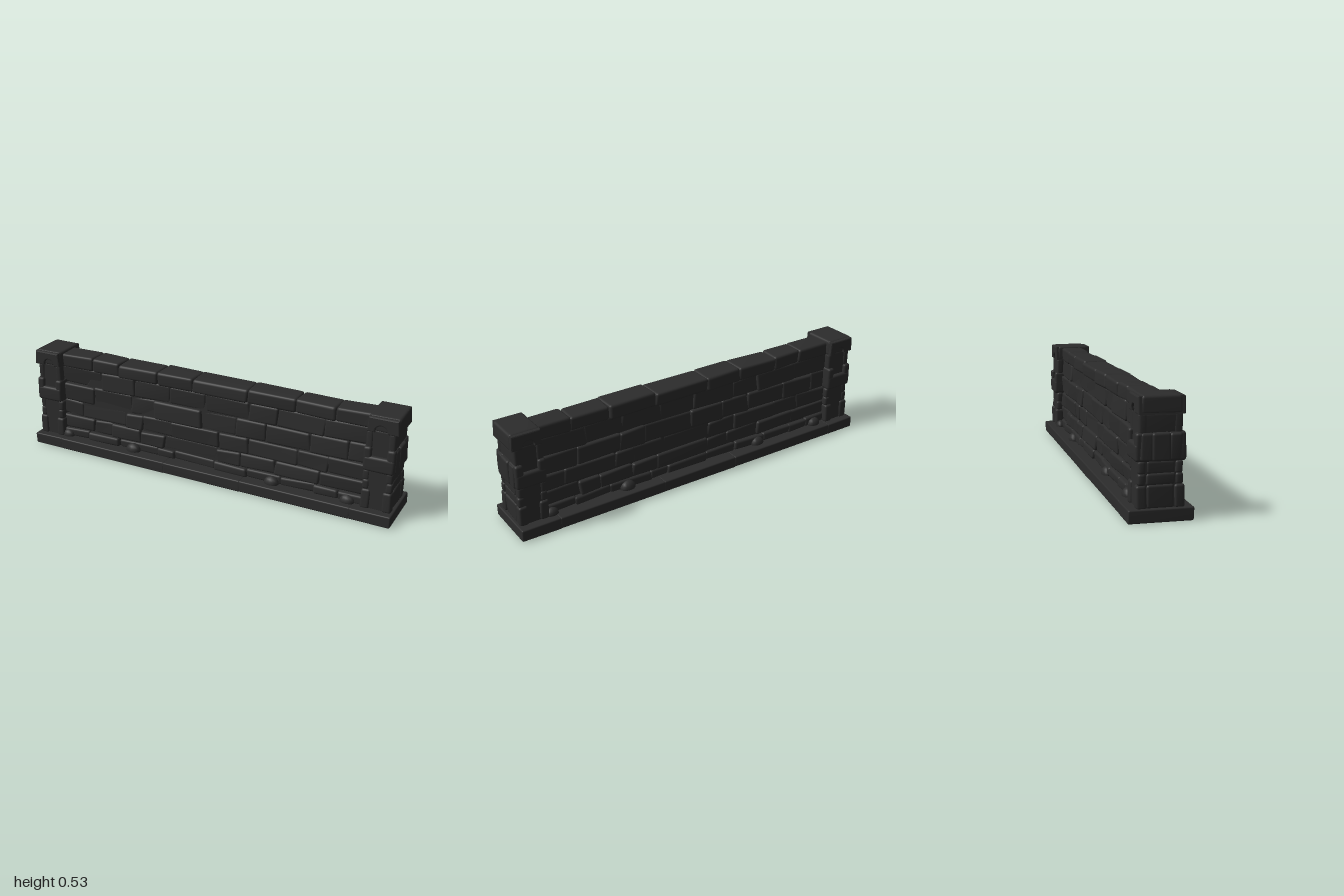
import * as THREE from 'three';
import { mergeVertices, mergeGeometries } from 'three/addons/utils/BufferGeometryUtils.js';
import { RoundedBoxGeometry } from 'three/addons/geometries/RoundedBoxGeometry.js';

// Small seeded generator, so that every stone is a little different
let seed = 7;
const rand = (a, b) => {
  seed = (seed * 16807) % 2147483647;
  return a + (b - a) * (seed / 2147483647);
};

// Worn stone between two corners; lean pulls the sides in towards the top, rough sets the wear
function stone(x0, x1, y0, y1, z0, z1, { r = 0.012, rough = 0.004, lean = 0 } = {}) {
  const w = x1 - x0, h = y1 - y0, d = z1 - z0;
  let g = new RoundedBoxGeometry(w, h, d, 2, Math.min(r, w * 0.4, h * 0.4, d * 0.4));
  g.deleteAttribute('normal');
  g.deleteAttribute('uv');
  g = mergeVertices(g, 1e-5);
  const p = g.attributes.position;
  const a = rand(0, 6), b = rand(0, 6), c = rand(0, 6);
  for (let i = 0; i < p.count; i++) {
    const x = p.getX(i), y = p.getY(i), z = p.getZ(i);
    const s = 1 - lean * (y / h + 0.5);
    p.setXYZ(i,
      x * s + rough * Math.sin(30 * y + 20 * z + a),
      y + rough * 0.6 * Math.sin(17 * x + 13 * z + b),
      z * s + rough * Math.sin(23 * x + 31 * y + c));
  }
  g.translate((x0 + x1) / 2, (y0 + y1) / 2, (z0 + z1) / 2);
  g.computeVertexNormals();
  return g;
}

// Half-buried rounded rock
function pebble(x, y, z, r) {
  const g = mergeVertices(new THREE.SphereGeometry(r, 12, 8).deleteAttribute('uv'));
  g.scale(1.15, 1, 0.8);
  g.translate(x, y, z);
  return g;
}

export function createModel() {
  const model = new THREE.Group();
  const darkStone = new THREE.MeshStandardMaterial({ color: 0x2c2c2c });
  darkStone.name = 'dark stone';

  const add = (name, parts, parent = model) => {
    const clean = parts.map((g) => {
      const n = g.toNonIndexed();
      n.deleteAttribute('uv');
      return n;
    });
    const mesh = new THREE.Mesh(mergeGeometries(clean), darkStone);
    mesh.name = name;
    parent.add(mesh);
  };
  const spans = (xs, fn) => xs.slice(1).map((x, i) => fn(xs[i], x));

  // Foundation slabs, slightly overlapping
  add('foundation', spans([-0.996, -0.83, -0.2, 0.23, 0.8, 0.996], (a, b) =>
    stone(a - 0.003, b + 0.003, 0.001, 0.06, -0.141, 0.141, { r: 0.007, rough: 0.001 })));

  // Solid core behind the facing bricks
  add('wallCore', [stone(-0.9, 0.9, 0.05, 0.46, -0.062, 0.062, { rough: 0, lean: 0.28 })]);

  // Facing bricks, in courses that step in as they rise
  const courses = [
    { y: [0.055, 0.104], z: 0.078, x: [-0.86, -0.69, -0.5, -0.27, -0.17, 0.06, 0.24, 0.42, 0.6, 0.72, 0.86] },
    { y: [0.1, 0.177], z: 0.07, x: [-0.86, -0.66, -0.55, -0.37, -0.23, 0.07, 0.2, 0.39, 0.62, 0.86] },
    { y: [0.172, 0.261], z: 0.064, x: [-0.86, -0.73, -0.46, -0.36, -0.19, 0.08, 0.24, 0.5, 0.66, 0.86] },
    { y: [0.256, 0.357], z: 0.06, x: [-0.86, -0.66, -0.43, -0.29, -0.02, 0.17, 0.33, 0.56, 0.75, 0.86] },
    { y: [0.352, 0.452], z: 0.054, x: [-0.86, -0.61, -0.41, -0.2, 0.0, 0.24, 0.39, 0.63, 0.86] },
  ];
  const bricks = () => courses.flatMap(({ y, z, x }) => spans(x, (a, b) => {
    const out = z + rand(-0.008, 0.008);
    return stone(a - 0.002, b + 0.002, y[0] + rand(0, 0.003), y[1] - rand(0, 0.003), 0.01, out,
      { r: 0.012, rough: 0.0045 });
  }));
  const pebbles = () => [[-0.82, 0.03], [-0.41, 0.036], [0.38, 0.034], [0.77, 0.033]]
    .map(([x, r]) => pebble(x, 0.064, 0.083, r));

  // Both faces carry the same layout, turned half round
  for (const [side, turn] of [['front', 0], ['back', Math.PI]]) {
    const face = new THREE.Group();
    face.name = side + 'Face';
    face.rotation.y = turn;
    add(side + 'Bricks', bricks(), face);
    add(side + 'Rocks', pebbles(), face);
    model.add(face);
  }

  // Coping stones along the top, thickest and set slightly back at the middle
  add('coping', spans([-0.88, -0.66, -0.5, -0.27, -0.07, 0.23, 0.48, 0.68, 0.88], (a, b) => {
    const mid = 1 - Math.abs(a + b) / 2;
    const half = 0.056 + 0.012 * mid + rand(-0.002, 0.003);
    const back = -0.006 * mid;
    return stone(a - 0.001, b + 0.001, 0.443, 0.515 + rand(-0.003, 0.003), back - half, back + half,
      { r: 0.014, rough: 0.003 });
  }));

  // End pillars
  for (const [name, turn] of [['leftPillar', 0], ['rightPillar', Math.PI]]) {
    const pillar = new THREE.Group();
    pillar.name = name;
    pillar.rotation.y = turn;
    const both = (fn) => [-1, 1].flatMap((s) =>
      fn((a, b) => [s * a, s * b].sort((m, n) => m - n)));

    add('shaft', [stone(0.85, 0.979, 0.05, 0.46, -0.096, 0.096, { rough: 0.001, lean: 0.09 })], pillar);

    // Corner quoins and the stones between them, below the band
    const lower = [];
    for (const [y0, y1, z, x, wide] of [[0.055, 0.157, 0.104, 0.987, 0.045],
      [0.153, 0.205, 0.098, 0.984, 0.034], [0.2, 0.257, 0.096, 0.982, 0.034]]) {
      lower.push(...both((span) => [
        stone(x - wide, x, y0, y1, ...span(z - wide, z), { rough: 0.0015 }),
        stone(0.838, 0.838 + wide, y0, y1, ...span(z - wide, z), { rough: 0.0015 }),
      ]));
      lower.push(stone(0.93, x - 0.002, y0, y1, -z + wide, z - wide, { rough: 0.002 }));
    }
    add('lowerStones', lower, pillar);

    // Projecting band, open at the middle of each broad side to leave a niche
    add('band', [
      stone(0.838, 0.988, 0.253, 0.33, -0.109, 0.109, { r: 0.014, rough: 0.001 }),
      stone(0.93, 0.994, 0.256, 0.372, -0.088, -0.034, { rough: 0.002 }),
      stone(0.93, 0.998, 0.256, 0.375, -0.04, 0.04, { rough: 0.001 }),
      stone(0.93, 0.994, 0.256, 0.372, 0.034, 0.088, { rough: 0.002 }),
      ...both((span) => [
        stone(0.948, 0.988, 0.255, 0.375, ...span(0.03, 0.107), { rough: 0.001 }),
        stone(0.838, 0.876, 0.255, 0.375, ...span(0.03, 0.107), { rough: 0.001 }),
      ]),
    ], pillar);

    // Slim corner stones between the band and the cap
    add('upperStones', [
      stone(0.93, 0.98, 0.36, 0.455, -0.075, 0.075, { rough: 0.002, lean: 0.005 }),
      ...both((span) => [
        stone(0.948, 0.982, 0.365, 0.455, ...span(0.055, 0.094), { rough: 0.001 }),
        stone(0.842, 0.876, 0.365, 0.455, ...span(0.055, 0.094), { rough: 0.001 }),
      ]),
    ], pillar);

    // Cap block, with the arched head of the niche cut into its lower edge
    const capFace = new THREE.Shape();
    capFace.moveTo(0.85, 0.455).lineTo(0.876, 0.455);
    capFace.absarc(0.911, 0.455, 0.035, Math.PI, 0, true);
    capFace.lineTo(0.99, 0.455).lineTo(0.985, 0.518).lineTo(0.855, 0.518).closePath();
    const capFront = new THREE.ExtrudeGeometry(capFace, {
      depth: 0.188, bevelEnabled: true, bevelThickness: 0.006, bevelSize: 0.006, bevelSegments: 2, curveSegments: 8,
    }).translate(0, 0, -0.094);
    add('cap', [capFront,
      stone(0.842, 0.998, 0.449, 0.528, -0.09, 0.09, { r: 0.014, rough: 0.001, lean: 0.04 })], pillar);
    model.add(pillar);
  }

  return model;
}
